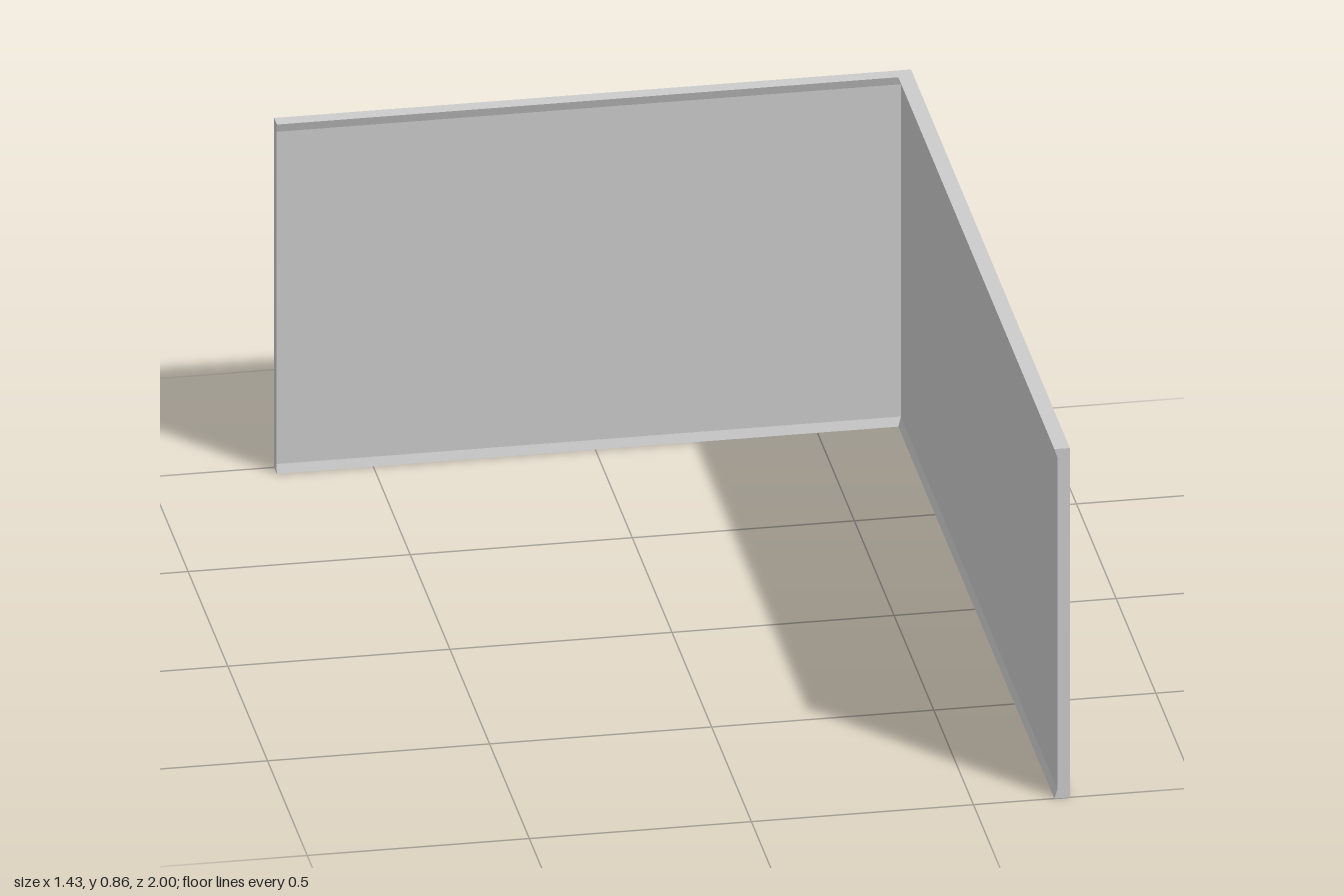
import * as THREE from 'three';

const H = 0.856, HALF_X = 0.717;
const PANEL = 0.028, LIP = 0.035, LIP_H = 0.021; // thicknesses and lip height

// Wall section: flat outside, bevelled lips along the top and bottom inside
function wall(name, length, material) {
  const section = new THREE.Shape([
    [0, 0], [LIP, 0], [PANEL, LIP_H], [PANEL, H - LIP_H], [LIP, H], [0, H],
  ].map(([d, y]) => new THREE.Vector2(d, y)));
  const geometry = new THREE.ExtrudeGeometry(section, { depth: length, bevelEnabled: false });
  const mesh = new THREE.Mesh(geometry, material);
  mesh.name = name;
  return mesh;
}

export function createModel() {
  const group = new THREE.Group();
  group.name = 'cornerWalls';
  const material = new THREE.MeshStandardMaterial({ color: 0xcccccc, flatShading: true });

  // Long side wall on +x, lips facing -x
  const side = wall('sideWall', 2, material);
  side.rotation.y = Math.PI;
  side.position.set(HALF_X, 0, 1);

  // Back wall butting against the side wall, lips facing +z
  const end = HALF_X - PANEL;
  const back = wall('backWall', end + HALF_X, material);
  back.rotation.y = -Math.PI / 2;
  back.position.set(end, 0, -1);

  group.add(side, back);
  return group;
}
